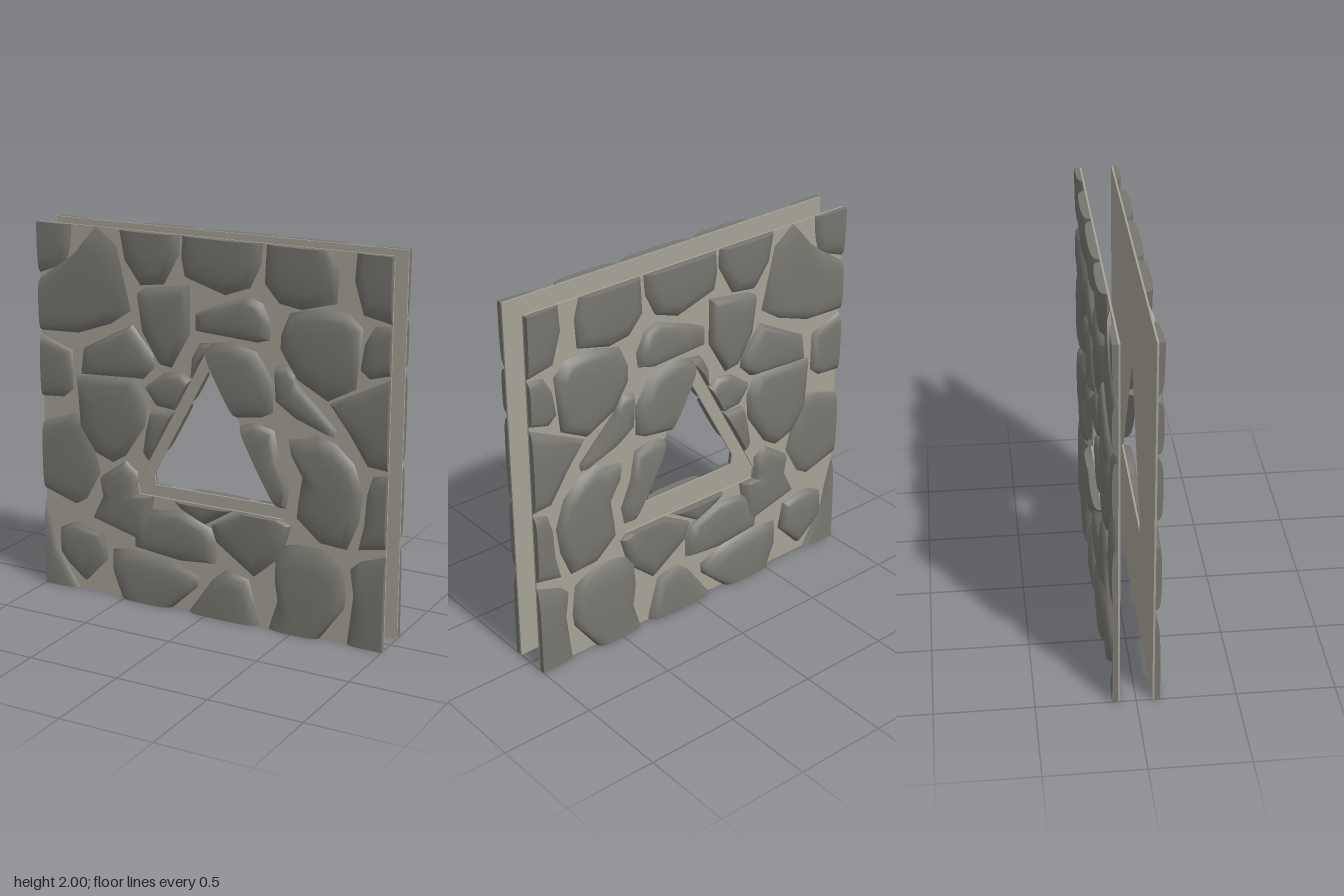
import * as THREE from 'three';
import { toCreasedNormals } from 'three/addons/utils/BufferGeometryUtils.js';

const stoneMat = new THREE.MeshStandardMaterial({ color: 0x76756f });
stoneMat.name = 'stone grey';
const mortarMat = new THREE.MeshStandardMaterial({ color: 0xa6a296 });
mortarMat.name = 'mortar beige';

const INNER = 0.08, FACE = 0.09;
// dome rings: scale of the outline, share of the full height
const RINGS = [[1, 0], [0.91, 0.6], [0.75, 0.85], [0.45, 0.97]];

// Domed stone: outline in hundredths, shrunk towards a centre.
// A centre lying on a cut edge leaves a flat wall along that edge.
function stoneGeometry(cx, cy, outline, side) {
  let pts = [];
  for (let i = 0; i < outline.length; i += 2) pts.push(new THREE.Vector2(outline[i] / 100, outline[i + 1] / 100));
  if (THREE.ShapeUtils.area(pts) * side < 0) pts.reverse();
  const n = pts.length, x = cx / 100, y = cy / 100;
  const height = Math.abs(cx) === 100 ? 0.029 : 0.043;
  const pos = [], idx = [];
  for (const [s, h] of RINGS)
    for (const p of pts) pos.push(x + (p.x - x) * s, y + (p.y - y) * s, side * (FACE + height * h));
  pos.push(x, y, side * (FACE + height));
  const last = RINGS.length - 1;
  for (let i = 0; i < n; i++) {
    const j = (i + 1) % n;
    for (let r = 0; r < last; r++) {
      const a = r * n + i, b = r * n + j;
      idx.push(a, b, b + n, a, b + n, a + n);
    }
    idx.push(last * n + i, last * n + j, (last + 1) * n);
  }
  const g = new THREE.BufferGeometry();
  g.setAttribute('position', new THREE.Float32BufferAttribute(pos, 3));
  g.setIndex(idx);
  return toCreasedNormals(g, 1.0);
}

function createPanel(side) {
  const panel = new THREE.Group();
  panel.name = side > 0 ? 'frontWall' : 'backWall';

  // mortar sheet with the triangular opening
  const shape = new THREE.Shape([[-1, 0], [1, 0], [1, 2], [-1, 2]].map(p => new THREE.Vector2(...p)));
  shape.holes.push(new THREE.Path([[-0.01, 1.42], [-0.42, 0.66], [-0.41, 0.6], [0.44, 0.6]].map(p => new THREE.Vector2(...p))));
  const sheet = new THREE.ExtrudeGeometry(shape, { depth: FACE - INNER, bevelEnabled: false });
  sheet.translate(0, 0, side > 0 ? INNER : -FACE);
  const mortar = new THREE.Mesh(sheet, mortarMat);
  mortar.name = 'mortar';
  panel.add(mortar);

  const stone = (cx, cy, ...outline) => {
    const m = new THREE.Mesh(stoneGeometry(cx, cy, outline, side), stoneMat);
    m.name = 'stone';
    panel.add(m);
  };

  // top row, cut by the upper edge
  stone(-100, 200, -100, 200, -80, 200, -81, 188, -84, 179, -100, 173);
  stone(-34, 200, -51, 200, -16, 200, -16, 190, -25, 174, -39, 172, -48, 184);
  stone(8, 200, -14, 200, 31, 200, 30, 189, 24, 177, 10, 172, -13, 179, -15, 189);
  stone(52, 200, 33, 200, 69, 200, 72, 190, 71, 174, 52, 169, 40, 171, 32, 180);
  stone(100, 200, 81, 200, 100, 200, 100, 167, 85, 170, 80, 186);

  // left edge
  stone(-100, 157, -100, 170, -77, 186, -65, 200, -53, 191, -45, 158, -57, 150, -77, 143, -100, 142);
  stone(-100, 122, -100, 140, -81, 133, -81, 112, -87, 107, -100, 106);
  stone(-100, 74, -100, 92, -80, 99, -72, 94, -65, 68, -74, 52, -81, 48, -100, 54);
  stone(-100, 0, -100, 50, -96, 36, -93, 22, -80, 0, -100, 0);

  // right edge
  stone(100, 153, 100, 166, 91, 165, 86, 156, 84, 143, 89, 139, 100, 142);
  stone(100, 115, 68, 124, 84, 132, 100, 140, 100, 94, 89, 95, 79, 110);
  stone(100, 72, 100, 92, 92, 90, 89, 80, 88, 64, 85, 51, 100, 54);
  stone(100, 0, 80, 0, 83, 26, 81, 40, 86, 45, 100, 50, 100, 0);

  // whole stones above and beside the opening
  stone(-24, 156, -41, 168, -36, 171, -10, 175, -10, 150, -21, 131, -28, 132, -38, 148);
  stone(15, 160, -7, 161, 4, 166, 24, 173, 31, 170, 36, 160, 35, 152, 28, 150, -7, 152);
  stone(65, 150, 41, 155, 46, 167, 62, 171, 78, 170, 85, 163, 82, 133, 67, 125, 50, 134, 41, 148);
  stone(-53, 133, -76, 121, -74, 135, -44, 151, -32, 137, -31, 130, -38, 123);
  stone(-58, 102, -79, 120, -42, 124, -36, 112, -37, 98, -49, 80, -57, 75, -68, 79, -77, 92, -78, 108);
  stone(48, 123, 38, 139, 45, 141, 50, 137, 51, 132, 72, 111, 71, 107, 51, 114, 39, 122);
  stone(68, 78, 46, 103, 54, 104, 62, 107, 72, 104, 82, 95, 87, 80, 85, 65, 79, 50, 64, 51, 51, 62, 52, 72, 54, 85, 47, 97);

  // stones cut by the opening
  stone(-3.7, 137, -9, 127, -8, 138, -4, 146, 4, 147, -1, 142);
  stone(8, 125.6, -1, 142, 4, 147, 14, 149, 28, 145, 37, 131, 37, 115, 31, 112, 16.6, 110);
  stone(-15, 116, -37, 119, -25, 128, -15, 130, -9.6, 126, -18.8, 109, -30, 110);
  stone(-26.4, 95, -33, 107, -19.3, 108, -35, 79, -38, 83, -36, 96);
  stone(28.6, 88, 18.8, 106, 26, 109, 38, 106, 41, 90, 47, 76, 45, 66, 40.7, 66);
  stone(28, 60, 2, 50, 19, 60, 44, 60, 48, 57, 43, 40, 27, 26, 5, 41);
  stone(-2, 60, -20, 60, 15, 60, -1, 50, -15, 56);
  stone(-52, 56, -70, 42, -63, 56, -65, 66, -49, 77, -42, 72, -42, 66, -41, 60, -32, 60, -34, 48, -36, 33);

  // lower stones, the last three cut by the bottom edge
  stone(-18, 40, -44, 35, -36, 52, -16, 55, 2, 48, 5, 40, 5, 29, -16, 27, -44, 30);
  stone(-77, 23, -91, 20, -91, 33, -81, 38, -64, 35, -61, 20, -75, 5, -86, 14);
  stone(-36, 0, -58, 26, -49, 28, -22, 26, -5, 20, -6, 14, -21, 0, -52, 0, -58, 15);
  stone(11, 0, -11, 0, 3, 20, 11, 27, 24, 24, 30, 3, 30, 0);
  stone(54, 0, 36, 0, 41, 16, 39, 30, 40, 45, 51, 48, 65, 48, 77, 42, 79, 25, 78, 18, 65, 0);
  return panel;
}

export function createModel() {
  const model = new THREE.Group();
  model.name = 'stoneWallWithTriangularWindow';
  model.add(createPanel(1), createPanel(-1));
  return model;
}
